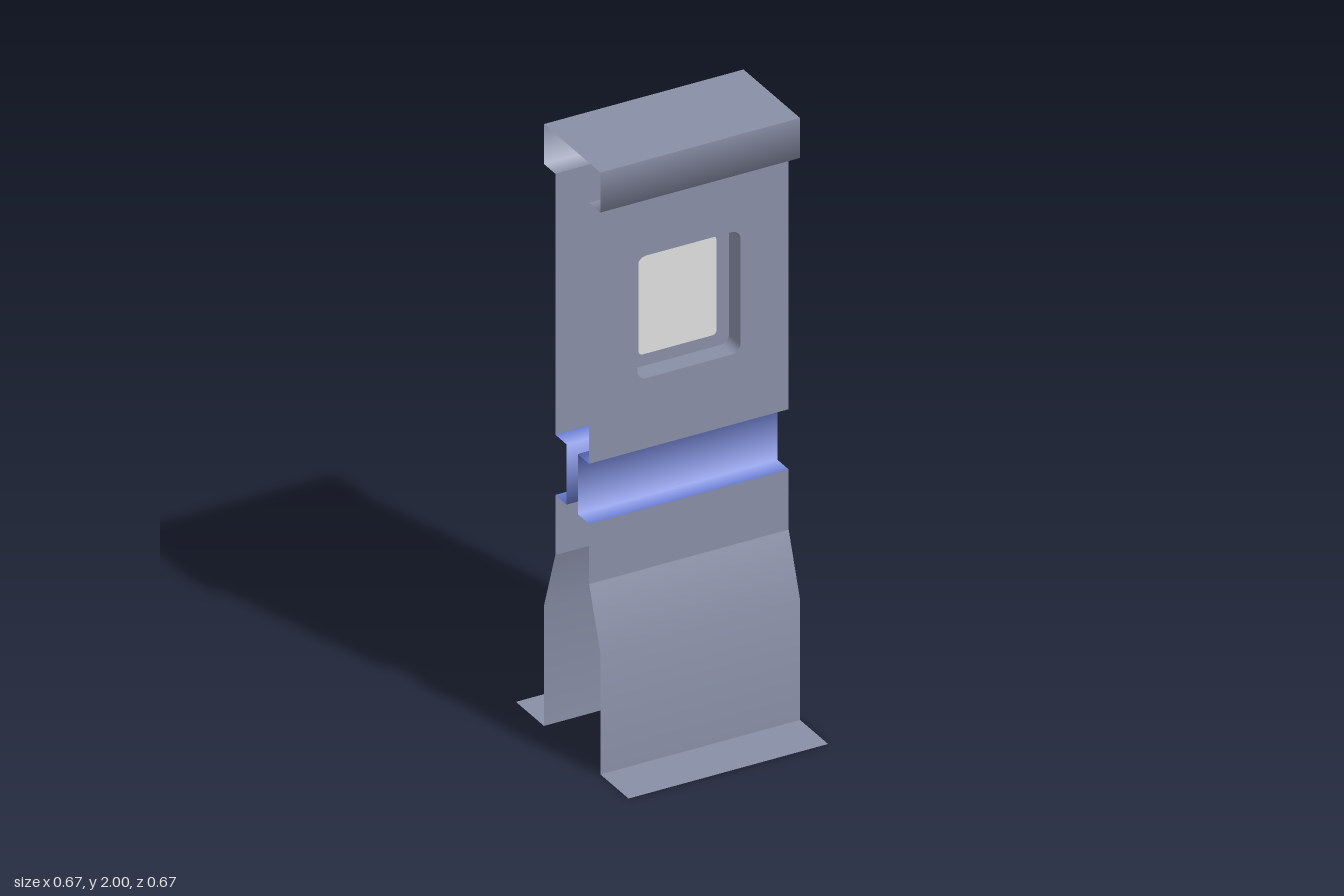
import * as THREE from 'three';

const HALF = 0.333;   // half width of the wall segment
const WALL = 0.1;     // z of the upright wall sheet
const EAVE = 0.167;   // z of the top lip and of the lower skirt
const DEEP = 0.033;   // z of the recessed band and window pane

const make = (name, color) => {
  const m = new THREE.MeshStandardMaterial({ color, side: THREE.DoubleSide });
  m.name = name;
  return m;
};

// Sweeps a line of points along a vector, with normals averaged at each point
function ribbon(points, sweep) {
  const faceNormals = points.slice(1).map((p, i) =>
    p.clone().sub(points[i]).cross(sweep).normalize());
  const position = [], normal = [], index = [];
  points.forEach((p, i) => {
    const n = new THREE.Vector3();
    if (i > 0) n.add(faceNormals[i - 1]);
    if (i < faceNormals.length) n.add(faceNormals[i]);
    n.normalize();
    const q = p.clone().add(sweep);
    position.push(p.x, p.y, p.z, q.x, q.y, q.z);
    normal.push(n.x, n.y, n.z, n.x, n.y, n.z);
    if (i < faceNormals.length) {
      const a = i * 2;
      index.push(a, a + 2, a + 1, a + 2, a + 3, a + 1);
    }
  });
  const g = new THREE.BufferGeometry();
  g.setAttribute('position', new THREE.Float32BufferAttribute(position, 3));
  g.setAttribute('normal', new THREE.Float32BufferAttribute(normal, 3));
  g.setIndex(index);
  return g;
}

// Sheet across the full width, from a [z, y] profile listed downwards
function sheet(profile) {
  const pts = profile.map(([z, y]) => new THREE.Vector3(-HALF, y, z));
  return ribbon(pts, new THREE.Vector3(2 * HALF, 0, 0));
}

// Counterclockwise rounded rectangle
function roundedRect(w, y0, y1, r, Type = THREE.Shape) {
  const s = new Type();
  s.moveTo(0, y0);
  s.lineTo(w - r, y0);
  s.absarc(w - r, y0 + r, r, -Math.PI / 2, 0, false);
  s.absarc(w - r, y1 - r, r, 0, Math.PI / 2, false);
  s.absarc(-w + r, y1 - r, r, Math.PI / 2, Math.PI, false);
  s.absarc(-w + r, y0 + r, r, Math.PI, Math.PI * 1.5, false);
  s.lineTo(0, y0);
  return s;
}

export function createModel() {
  const grey = make('wall grey', 0x888ea6);
  const blue = make('band blue', 0x667ad0);
  const pale = make('pane grey', 0xdedede);

  const model = new THREE.Group();
  model.name = 'wallSegment';

  const opening = (Type) => roundedRect(0.172, 1.233, 1.64, 0.03, Type);
  const pane = (Type) => roundedRect(0.13, 1.272, 1.6, 0.014, Type);

  function buildSide(name) {
    const side = new THREE.Group();
    side.name = name;
    const add = (part, geometry, material, z = 0) => {
      const mesh = new THREE.Mesh(geometry, material);
      mesh.name = part;
      mesh.position.z = z;
      side.add(mesh);
    };

    // Overhanging lip and its underside
    add('topLip', sheet([[EAVE, 2], [EAVE, 1.867], [WALL, 1.867]]), grey);

    // Upper wall with a window opening
    const wall = new THREE.Shape();
    wall.moveTo(-HALF, 1);
    wall.lineTo(HALF, 1);
    wall.lineTo(HALF, 1.867);
    wall.lineTo(-HALF, 1.867);
    wall.closePath();
    wall.holes.push(opening(THREE.Path));
    add('upperWall', new THREE.ShapeGeometry(wall, 6), grey, WALL);

    // Window reveal, frame and pane
    const rim = opening(THREE.Shape).getPoints(6).map((p) => new THREE.Vector3(p.x, p.y, WALL));
    add('windowReveal', ribbon(rim, new THREE.Vector3(0, 0, DEEP - WALL)), grey);
    const frame = opening(THREE.Shape);
    frame.holes.push(pane(THREE.Path));
    add('windowFrame', new THREE.ShapeGeometry(frame, 6), grey, DEEP);
    add('windowPane', new THREE.ShapeGeometry(pane(THREE.Shape), 6), pale, DEEP);

    // Recessed band with its two ledges
    add('recessedBand', sheet([[WALL, 1], [DEEP, 1], [DEEP, 0.8], [WALL, 0.8]]), blue);

    // Lower wall, flared skirt and foot
    add('lowerWall', sheet([[WALL, 0.8], [WALL, 0.6]]), grey);
    add('skirt', sheet([[WALL, 0.6], [EAVE, 0.4], [EAVE, 0]]), grey);
    add('footFlange', sheet([[EAVE, 0], [HALF, 0]]), grey);
    return side;
  }

  const front = buildSide('frontSide');
  const back = buildSide('backSide');
  back.rotation.y = Math.PI;
  model.add(front, back);

  // Flat cap joining both sides
  const cap = new THREE.Mesh(sheet([[-EAVE, 2], [EAVE, 2]]), grey);
  cap.name = 'topCap';
  model.add(cap);

  return model;
}
